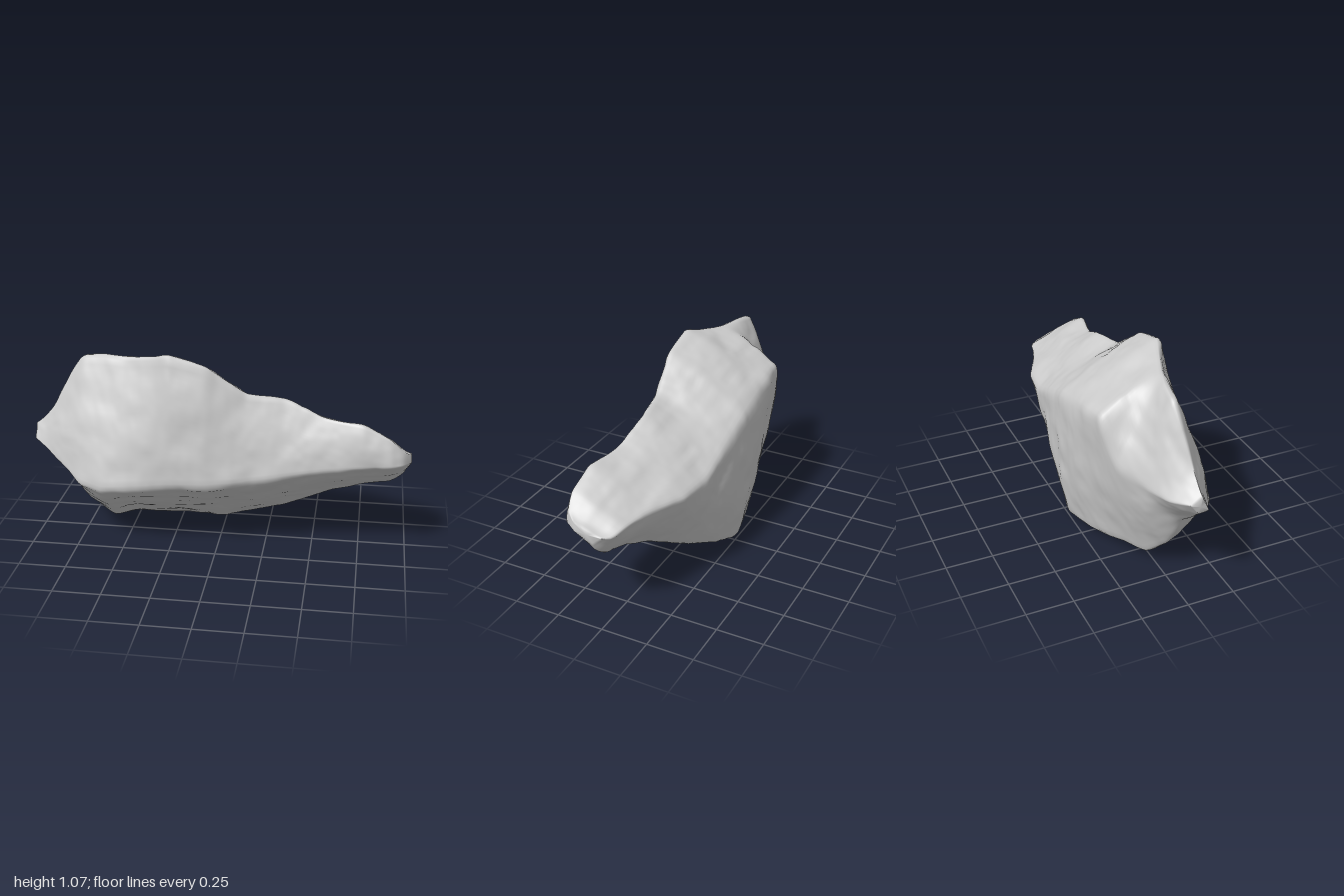
import * as THREE from 'three';

// Cross-sections along x: [x, top edge y,z, back edge y,z, bottom edge y,z, front edge y,z]
const SECTIONS = [
  [-1, .63, .05, .6, 0, .55, .03, .56, .08],
  [-.9, .74, .05, .58, -.08, .46, .06, .49, .145],
  [-.8, .93, .03, .59, -.12, .38, .04, .43, .21],
  [-.73, 1.03, .025, .6, -.15, .19, .01, .38, .25],
  [-.6, 1.045, .05, .64, -.21, .06, -.04, .36, .3],
  [-.5, 1.045, .085, .86, -.265, .07, -.11, .37, .3],
  [-.25, 1.095, .185, .82, -.28, .015, -.21, .39, .285],
  [-.05, 1.045, .185, .77, -.28, -.01, -.245, .405, .28],
  [.15, .89, .145, .68, -.265, .05, -.21, .43, .25],
  [.35, .87, .11, .59, -.255, .155, -.13, .465, .23],
  [.55, .785, .14, .58, -.23, .27, -.06, .505, .21],
  [.75, .765, .18, .58, -.13, .365, 0, .535, .215],
  [.9, .695, .195, .57, -.09, .395, .02, .555, .22],
  [.97, .62, .18, .54, -.06, .45, .03, .56, .19],
  [1, .59, .11, .55, -.01, .52, .03, .55, .11],
];
const RINGS = 180, PER_EDGE = 24, LOOP = PER_EDGE * 4;
// Outward bulge of the top, back, underside and front faces as [y, z]
const BULGE = [[.02, 0], [0, -.028], [-.005, .005], [0, .02]];

// Smooth seeded value noise in the range -1..1
function hash(x, y, z) {
  let h = Math.imul(x, 374761393) ^ Math.imul(y, 668265263) ^ Math.imul(z, 1274126177);
  h = Math.imul(h ^ (h >>> 13), 1103515245);
  return ((h ^ (h >>> 16)) >>> 0) / 2147483648 - 1;
}
function noise(x, y, z) {
  const c = [x, y, z].map(Math.floor);
  const [u, v, w] = [x, y, z].map((k, i) => { const f = k - c[i]; return f * f * (3 - 2 * f); });
  const { lerp } = THREE.MathUtils;
  const row = (j, k) => lerp(hash(c[0], c[1] + j, c[2] + k), hash(c[0] + 1, c[1] + j, c[2] + k), u);
  return lerp(lerp(row(0, 0), row(1, 0), v), lerp(row(0, 1), row(1, 1), v), w);
}

// Section values at any x, interpolated between the stations
function sectionAt(x) {
  const i = Math.max(SECTIONS.findIndex((s) => s[0] >= x), 1);
  const a = SECTIONS[i - 1], b = SECTIONS[i];
  const t = (x - a[0]) / (b[0] - a[0]);
  return a.map((v, k) => v + (b[k] - v) * t);
}

// Four-sided loop with bulged faces and slightly rounded corners
function ringAt(x) {
  const parts = [-.02, 0, .02].map((d) => sectionAt(THREE.MathUtils.clamp(x + d, -1, 1)));
  const s = parts[0].map((v, k) => (v + 2 * parts[1][k] + parts[2][k]) / 4);
  const taper = Math.min(1, (1 - Math.abs(x)) * 4);
  const raw = [];
  for (let e = 0; e < 4; e++) {
    const n = (e + 1) % 4;
    for (let k = 0; k < PER_EDGE; k++) {
      const t = k / PER_EDGE, swell = Math.sin(Math.PI * t) * taper;
      raw.push([0, 1].map((c) =>
        THREE.MathUtils.lerp(s[1 + e * 2 + c], s[1 + n * 2 + c], t) + BULGE[e][c] * swell));
    }
  }
  return raw.map((q, j) => {
    const before = raw[(j + LOOP - 1) % LOOP], after = raw[(j + 1) % LOOP];
    return q.map((v, c) => (before[c] + v + after[c]) / 3);
  });
}

function buildRock() {
  const pos = [], index = [];
  for (let i = 0; i <= RINGS; i++) {
    const x = -1 + (2 * i) / RINGS;
    for (const [y, z] of ringAt(x)) pos.push(x, y, z);
  }
  for (let i = 0; i < RINGS; i++) {
    for (let j = 0; j < LOOP; j++) {
      const a = i * LOOP + j, b = i * LOOP + (j + 1) % LOOP;
      index.push(a, a + LOOP, b, b, a + LOOP, b + LOOP);
    }
  }
  // Close both ends
  const end = (RINGS + 1) * LOOP, last = RINGS * LOOP;
  pos.push(-1, .585, .04, 1, .55, .06);
  for (let j = 0; j < LOOP; j++) {
    const n = (j + 1) % LOOP;
    index.push(end, j, n, end + 1, last + n, last + j);
  }
  const geo = new THREE.BufferGeometry();
  geo.setAttribute('position', new THREE.Float32BufferAttribute(pos, 3));
  geo.setIndex(index);
  geo.computeVertexNormals();

  // Weathered surface: broad dents, smaller chips and slanted layers
  const p = geo.attributes.position, nrm = geo.attributes.normal;
  const v = new THREE.Vector3(), n = new THREE.Vector3();
  for (let i = 0; i < p.count; i++) {
    v.fromBufferAttribute(p, i);
    n.fromBufferAttribute(nrm, i);
    const layer = v.z * 12 + v.y * 5;
    const d = .007 * noise(v.x * 5 + 9, v.y * 5, v.z * 5)
      + .005 * noise(v.x * 11, v.y * 11 + 4, v.z * 11)
      + .003 * noise(v.x * 6, layer * 2, 7)
      + .0015 * noise(v.x * 28, v.y * 28, v.z * 28);
    v.addScaledVector(n, d);
    p.setXYZ(i, v.x, v.y, v.z);
  }

  // Stand on the ground
  geo.computeBoundingBox();
  geo.translate(0, -geo.boundingBox.min.y, 0);
  geo.computeVertexNormals();
  return geo;
}

export function createModel() {
  const group = new THREE.Group();
  group.name = 'boulder';
  const rock = new THREE.Mesh(buildRock(), new THREE.MeshStandardMaterial({ color: 0xcccccc }));
  rock.name = 'rock';
  group.add(rock);
  return group;
}
